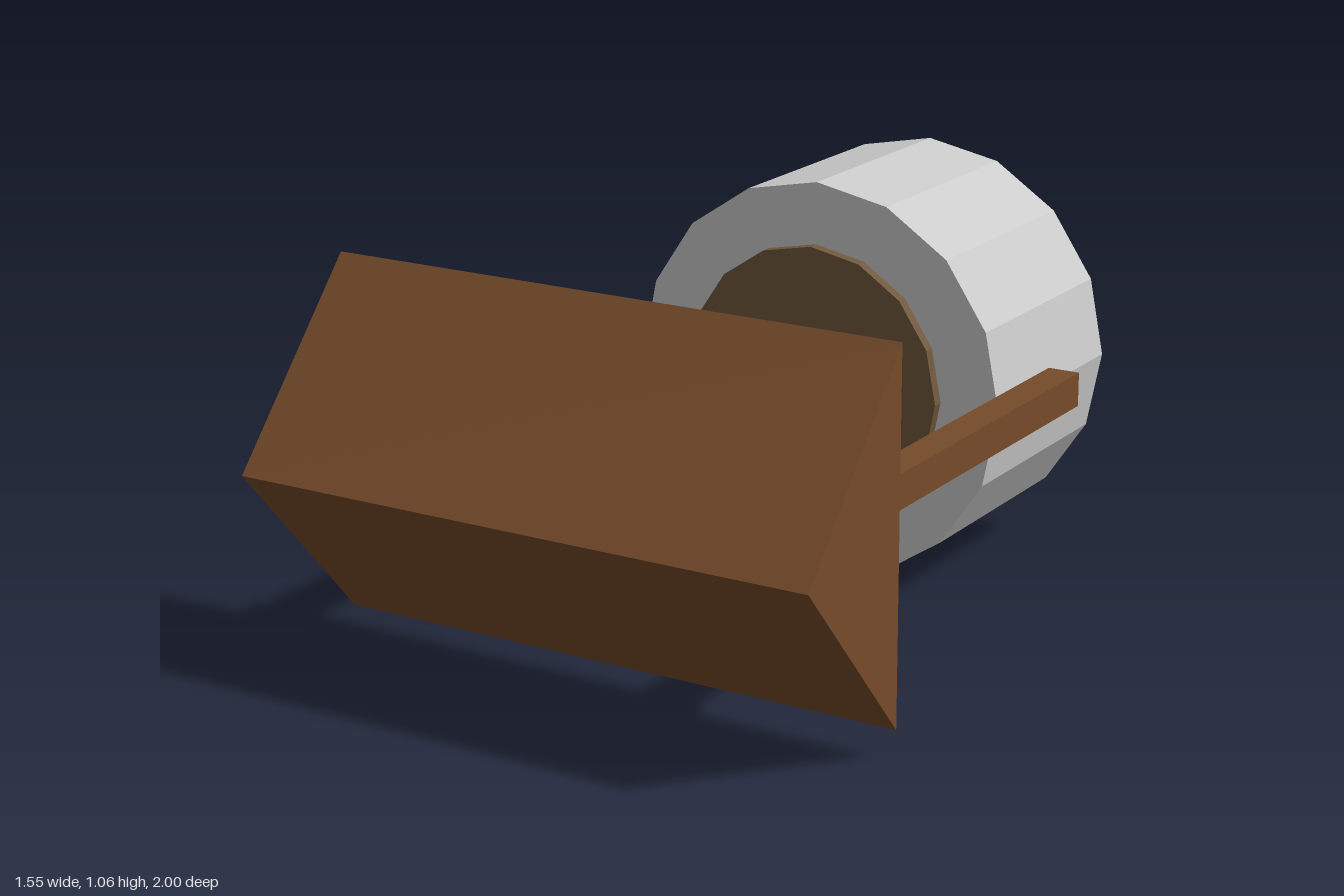
import * as THREE from 'three';

const AXIS_Y = 0.533;

export function createModel() {
  const group = new THREE.Group();
  const wood = new THREE.MeshStandardMaterial({ color: 0x764b2b, flatShading: true });
  const darkWood = new THREE.MeshStandardMaterial({ color: 0x70583d, flatShading: true });
  const grey = new THREE.MeshStandardMaterial({ color: 0xcccccc, flatShading: true });

  const add = (name, geometry, material, x, y, z) => {
    const mesh = new THREE.Mesh(geometry, material);
    mesh.name = name;
    mesh.position.set(x, y, z);
    group.add(mesh);
  };

  // 16-sided cylinder lying along z, between two z values
  const addDisc = (name, radius, z0, z1, material) => {
    const geometry = new THREE.CylinderGeometry(radius, radius, z1 - z0, 16);
    geometry.rotateX(Math.PI / 2);
    add(name, geometry, material, 0, AXIS_Y, (z0 + z1) / 2);
  };

  // Heavy drum with a thin wooden plate on its front
  addDisc('drum', 0.532, -1, -0.38, grey);
  addDisc('drumPlate', 0.368, -0.38, -0.35, darkWood);

  // Wedge: triangular profile (z, y) extruded across the width
  const profile = new THREE.Shape([
    new THREE.Vector2(0.594, 0.075),
    new THREE.Vector2(1, AXIS_Y),
    new THREE.Vector2(0.594, 0.993),
  ]);
  const wedge = new THREE.ExtrudeGeometry(profile, { depth: 1.55, bevelEnabled: false });
  wedge.rotateY(-Math.PI / 2);
  add('wedge', wedge, wood, 0.775, 0, 0);

  // Crossbar behind the wedge
  add('crossbar', new THREE.BoxGeometry(1.286, 0.09, 0.09), wood, 0, AXIS_Y, 0.55);

  // Side arms from the crossbar to the drum
  for (const side of [1, -1]) {
    const name = side > 0 ? 'leftArm' : 'rightArm';
    add(name, new THREE.BoxGeometry(0.086, 0.09, 1.175), wood, side * 0.575, AXIS_Y, -0.0825);
  }

  return group;
}
